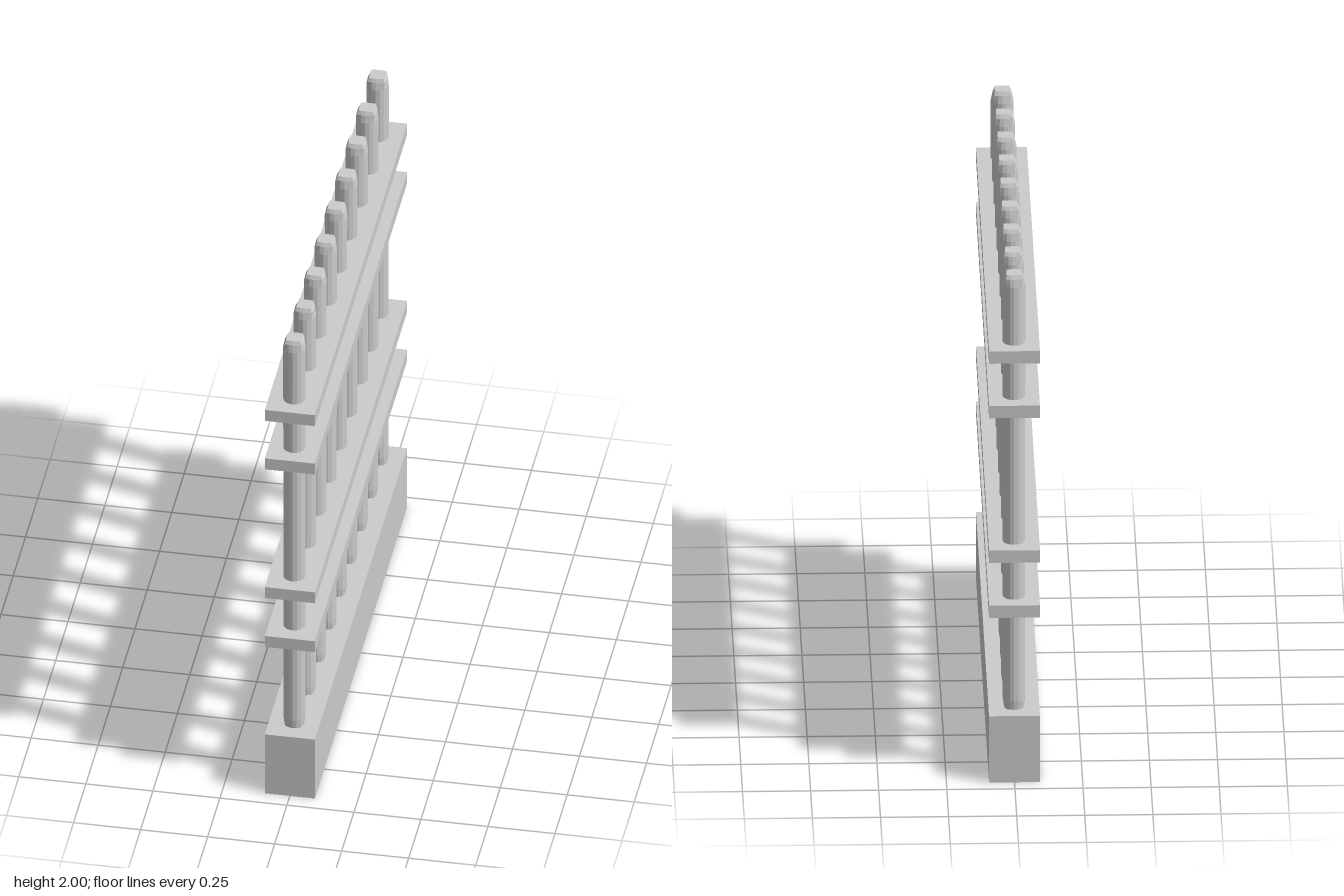
import * as THREE from 'three';

const WIDTH = 0.187, LENGTH = 1.88, BASE_TOP = 0.265;

// Post: round body with chamfered ends, closing to a softly squared flat top
function postGeometry() {
  const sides = 16;
  // [height, radius, squareness 0 = round .. 1 = square]
  const rings = [
    [BASE_TOP - 0.01, 0.035, 0.3], [0.3, 0.041, 0],
    [1.955, 0.042, 0], [1.985, 0.036, 0.5], [2, 0.028, 0.85],
  ];
  const pos = [], index = [];
  for (const [y, r, sq] of rings) {
    for (let i = 0; i < sides; i++) {
      const a = (i / sides) * Math.PI * 2;
      const c = Math.cos(a), s = Math.sin(a);
      const toSquare = 1 / Math.max(Math.abs(c), Math.abs(s));
      const d = r * (1 + (toSquare - 1) * sq);
      pos.push(d * s, y, d * c);
    }
  }
  for (let k = 0; k < rings.length - 1; k++) {
    for (let i = 0; i < sides; i++) {
      const a = k * sides + i, b = k * sides + (i + 1) % sides;
      index.push(a, b, b + sides, a, b + sides, a + sides);
    }
  }
  // Flat caps
  const last = (rings.length - 1) * sides;
  for (let i = 1; i < sides - 1; i++) {
    index.push(last, last + i, last + i + 1);
    index.push(0, i + 1, i);
  }
  const g = new THREE.BufferGeometry();
  g.setAttribute('position', new THREE.Float32BufferAttribute(pos, 3));
  g.setIndex(index);
  g.computeVertexNormals();
  return g;
}

export function createModel() {
  const group = new THREE.Group();
  group.name = 'fence';
  const material = new THREE.MeshStandardMaterial({ color: 0xcccccc, flatShading: true });

  const add = (name, geometry, y, z = 0) => {
    const mesh = new THREE.Mesh(geometry, material);
    mesh.name = name;
    mesh.position.set(0, y, z);
    group.add(mesh);
  };

  // Solid plinth
  add('base', new THREE.BoxGeometry(WIDTH, BASE_TOP, LENGTH), BASE_TOP / 2);

  // Two pairs of flat rails
  const rail = new THREE.BoxGeometry(WIDTH, 0.049, LENGTH);
  [0.683, 0.903, 1.482, 1.7].forEach((y, i) => add(`rail${i + 1}`, rail, y));

  // Nine evenly spaced posts
  const post = postGeometry();
  for (let i = 0; i < 9; i++) add(`post${i + 1}`, post, 0, (i - 4) * 0.2115);

  return group;
}
